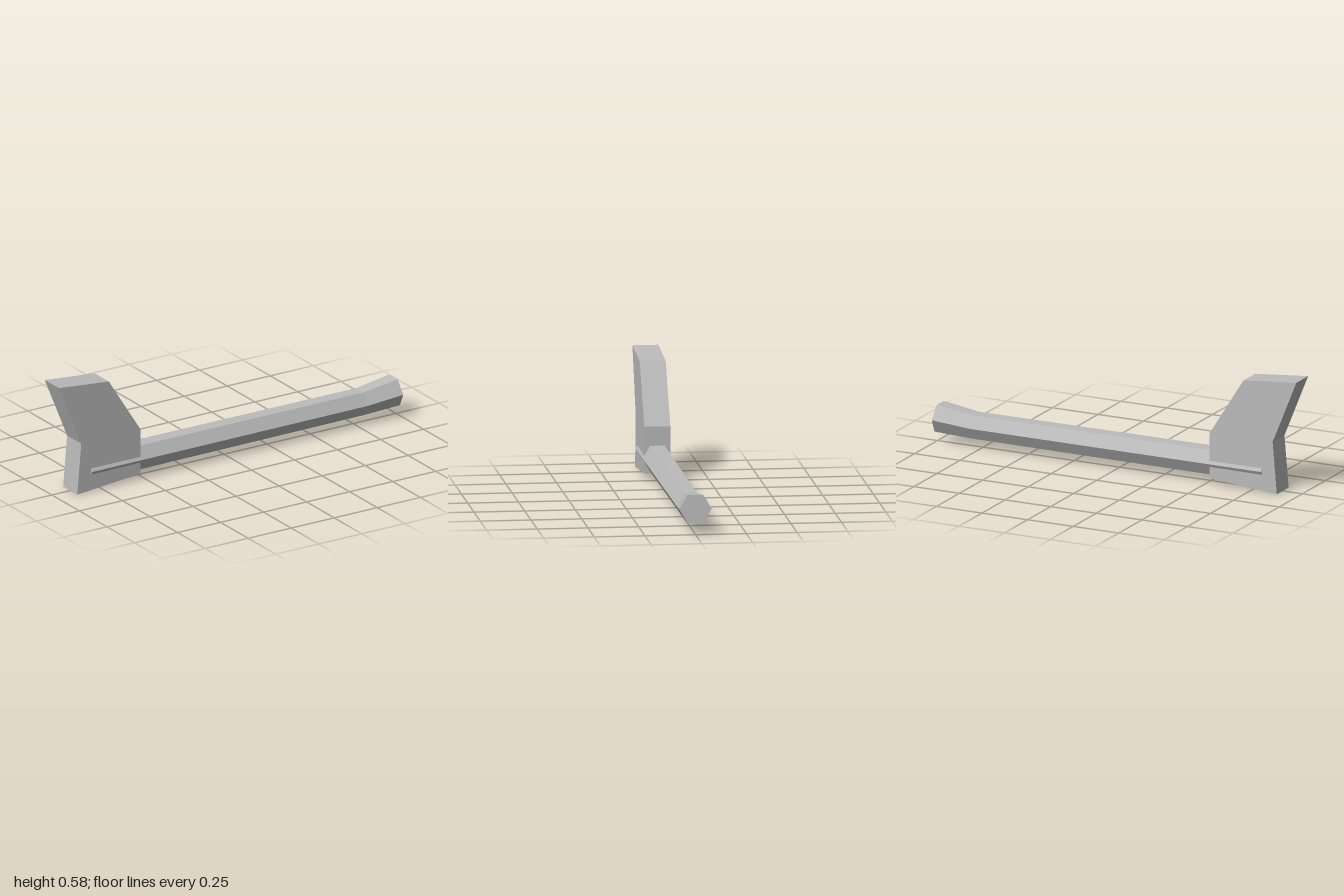
import * as THREE from 'three';

export function createModel() {
  const model = new THREE.Group();
  const grey = new THREE.MeshStandardMaterial({ color: 0xbbbbbb, flatShading: true });
  grey.name = 'grey';

  // Head: flat slab with a slanted outline
  const outline = [[-1, 0.587], [-0.87, 0.267], [-0.893, 0.003], [-0.525, 0.035], [-0.525, 0.267], [-0.71, 0.56]];
  const shape = new THREE.Shape(outline.map(([x, y]) => new THREE.Vector2(x, y)));
  const headGeometry = new THREE.ExtrudeGeometry(shape, { depth: 0.128, bevelEnabled: false });
  headGeometry.translate(0, 0, -0.064);
  const head = new THREE.Mesh(headGeometry, grey);
  head.name = 'head';
  model.add(head);

  // Handle: hexagonal bar through the head, slightly tapered, with a flared raised end
  const rings = [
    { x: -0.812, y: 0.108, r: 0.0735, lean: 0 },
    { x: 0.79, y: 0.11, r: 0.069, lean: -0.02 },
    { x: 0.991, y: 0.129, r: 0.0795, lean: -0.09 },
  ];
  const handleGeometry = new THREE.CylinderGeometry(1, 1, 1, 6, 2);
  handleGeometry.rotateZ(-Math.PI / 2);
  const pos = handleGeometry.attributes.position;
  for (let i = 0; i < pos.count; i++) {
    const ring = rings[Math.round((pos.getX(i) + 0.5) * 2)];
    const y = pos.getY(i) * ring.r;
    pos.setXYZ(i, ring.x + ring.lean * y, ring.y + y, pos.getZ(i) * ring.r);
  }
  handleGeometry.computeVertexNormals();
  const handle = new THREE.Mesh(handleGeometry, grey);
  handle.name = 'handle';
  model.add(handle);

  return model;
}
